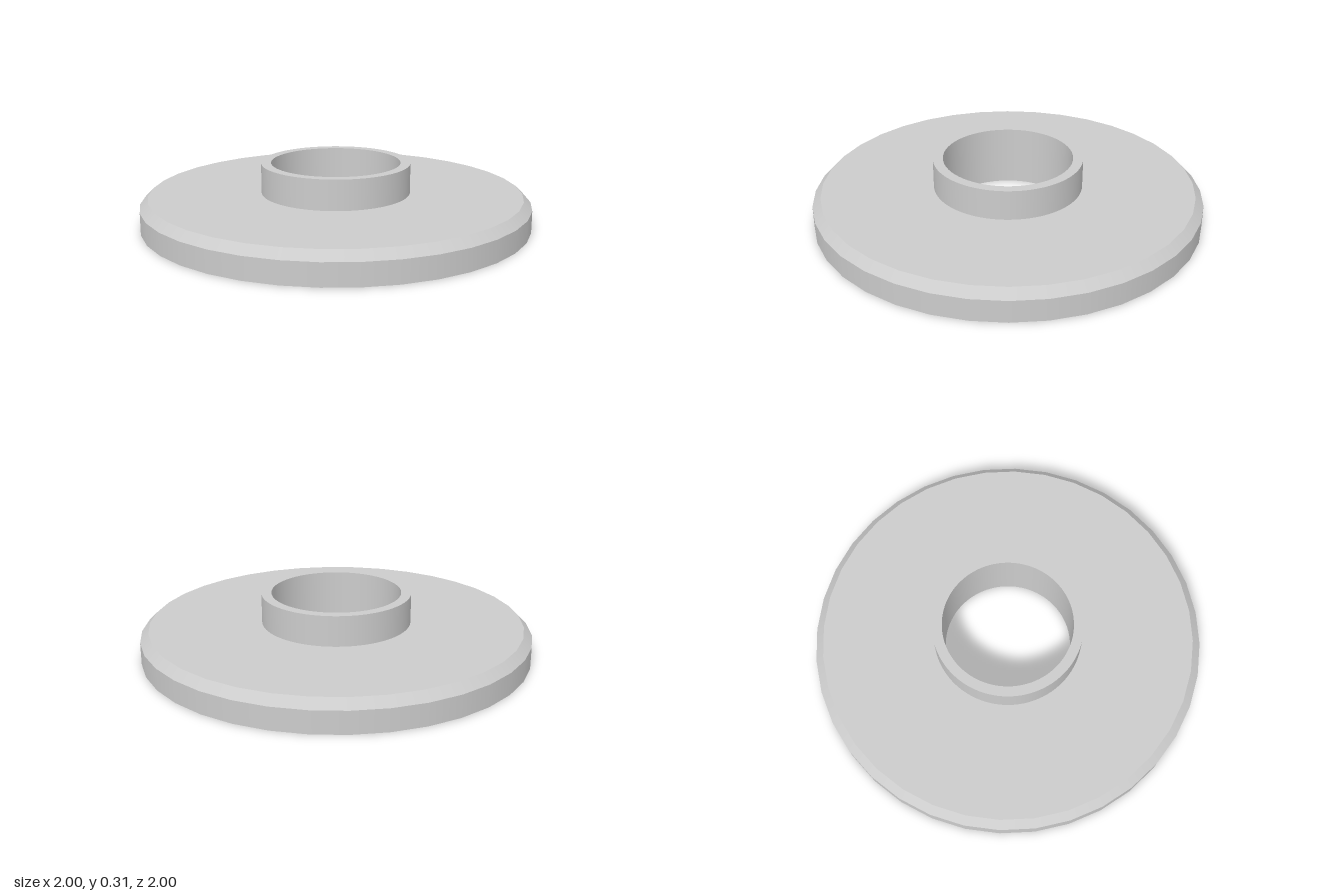
import * as THREE from 'three';
import { mergeGeometries } from 'three/addons/utils/BufferGeometryUtils.js';

const RIM_SIDES = 36, HUB_SIDES = 96;
const RIM_R = 1, CHAMFER_R = 0.957, HUB_R = 0.383, BORE_R = 0.332;
const CHAMFER_Y = 0.112, PLATE_Y = 0.155, HUB_Y = 0.31;

// One turned band between two profile points; its ends stay sharp
const band = (r0, y0, r1, y1, sides) =>
  new THREE.LatheGeometry([new THREE.Vector2(r0, y0), new THREE.Vector2(r1, y1)], sides);

const polygon = (r, sides) => Array.from({ length: sides }, (_, i) => {
  const a = (i / sides) * Math.PI * 2;
  return new THREE.Vector2(r * Math.cos(a), r * Math.sin(a));
});

// Flat plate face with a round hole, facing up (1) or down (-1)
function face(outerR, holeR, y, dir) {
  const shape = new THREE.Shape(polygon(outerR, RIM_SIDES));
  shape.holes.push(new THREE.Path(polygon(holeR, HUB_SIDES).reverse()));
  return new THREE.ShapeGeometry(shape).rotateX(-dir * Math.PI / 2).translate(0, y, 0);
}

export function createModel() {
  const group = new THREE.Group();
  const material = new THREE.MeshStandardMaterial({ color: 0xcccccc });
  const add = (name, parts) => {
    const mesh = new THREE.Mesh(mergeGeometries(parts), material);
    mesh.name = name;
    group.add(mesh);
  };

  // Wide disc with a chamfered upper edge
  add('flangePlate', [
    face(RIM_R, BORE_R, 0, -1),
    band(RIM_R, 0, RIM_R, CHAMFER_Y, RIM_SIDES),
    band(RIM_R, CHAMFER_Y, CHAMFER_R, PLATE_Y, RIM_SIDES),
    face(CHAMFER_R, HUB_R, PLATE_Y, 1),
  ]);

  // Raised collar, with the bore running through the plate
  add('hubCollar', [
    band(HUB_R, PLATE_Y, HUB_R, HUB_Y, HUB_SIDES),
    band(HUB_R, HUB_Y, BORE_R, HUB_Y, HUB_SIDES),
    band(BORE_R, HUB_Y, BORE_R, 0, HUB_SIDES),
  ]);

  return group;
}
